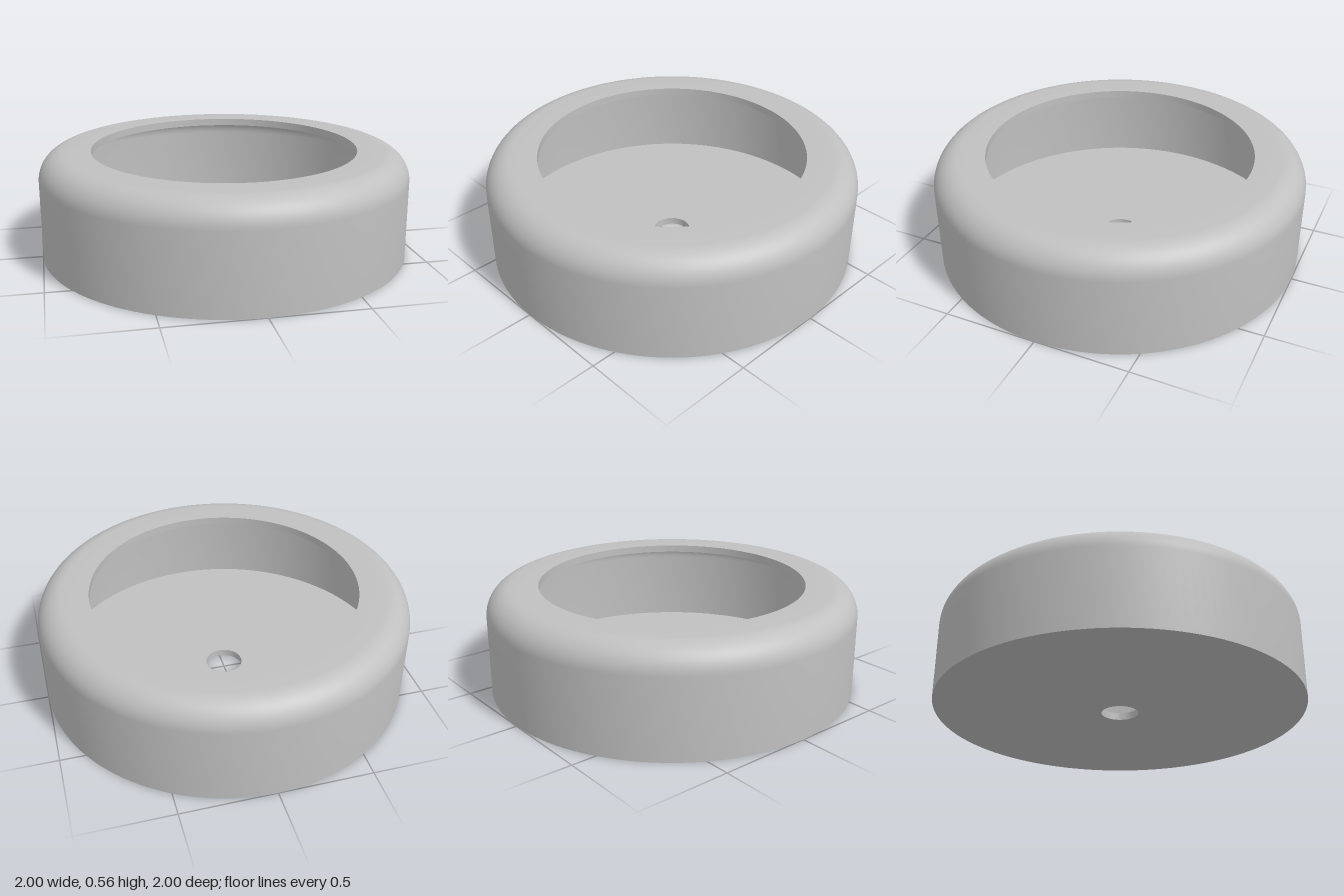
import * as THREE from 'three';
import { toCreasedNormals } from 'three/addons/utils/BufferGeometryUtils.js';

const HEIGHT = 0.565, RADIUS = 1, WALL = 0.04, FILLET = 0.14;
const OPENING = 0.72, HOLE = 0.1;

// Quarter-circle profile points round a centre, between two angles
function arc(cx, cy, r, from, to, steps = 12) {
  return Array.from({ length: steps + 1 }, (_, i) => {
    const a = from + (to - from) * i / steps;
    return new THREE.Vector2(cx + r * Math.cos(a), cy + r * Math.sin(a));
  });
}

export function createModel() {
  const grey = new THREE.MeshStandardMaterial({ color: 0xc0c0c0 });
  grey.name = 'grey';
  const p = (x, y) => new THREE.Vector2(x, y);
  const cx = RADIUS - FILLET, cy = HEIGHT - FILLET;

  // Closed section of a thin-walled cup with a rounded shoulder and inward lip
  const profile = [
    p(HOLE, 0), p(RADIUS, 0),                            // underside
    ...arc(cx, cy, FILLET, 0, Math.PI / 2),              // outer wall and shoulder
    p(OPENING, HEIGHT), p(OPENING, HEIGHT - WALL),       // lip edge
    ...arc(cx, cy, FILLET - WALL, Math.PI / 2, 0),       // inner shoulder
    p(RADIUS - WALL, WALL), p(HOLE, WALL), p(HOLE, 0),   // inner wall, floor, drain hole
  ];
  const shell = new THREE.Mesh(
    toCreasedNormals(new THREE.LatheGeometry(profile, 128), Math.PI / 6), grey);
  shell.name = 'hollowCupShell';

  const group = new THREE.Group();
  group.name = 'roundedCup';
  group.add(shell);
  return group;
}
